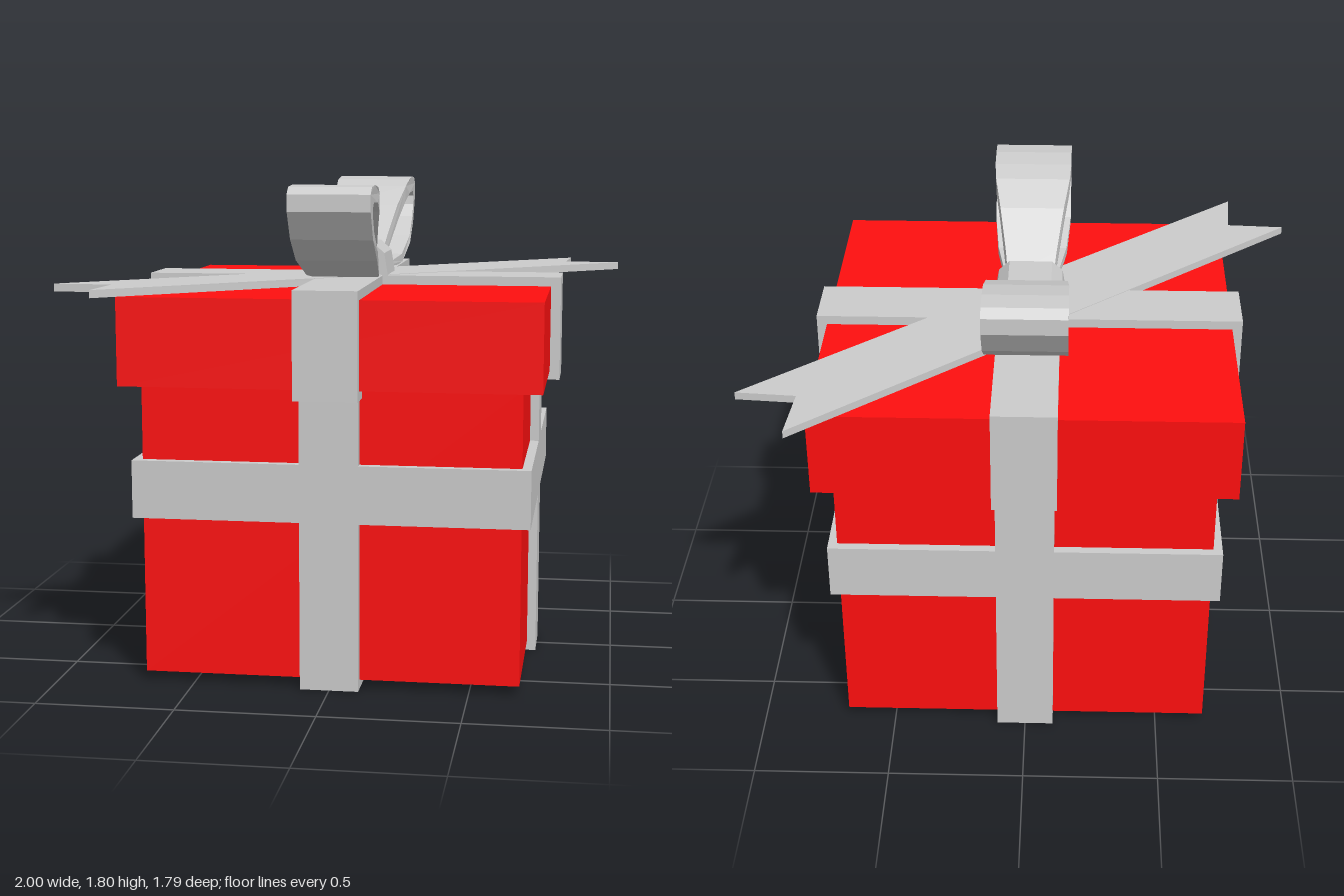
import * as THREE from 'three';

const red = new THREE.MeshStandardMaterial({ color: 0xfe0f0f, flatShading: true });
const grey = new THREE.MeshStandardMaterial({ color: 0xcccccc, flatShading: true });

const toVectors = (pts) => pts.map(([x, y]) => new THREE.Vector2(x, y));

function extrude(pts, depth, hole) {
  const shape = new THREE.Shape(toVectors(pts));
  if (hole) shape.holes.push(new THREE.Path(toVectors(hole)));
  return new THREE.ExtrudeGeometry(shape, { depth, bevelEnabled: false });
}

// Extrude a floor plan upwards from y0 to y1; plan points are (x, -z)
function plan(pts, y0, y1) {
  return extrude(pts, y1 - y0).rotateX(-Math.PI / 2).translate(0, y0, 0);
}

// Square block centred on the y axis
function block(half, y0, y1) {
  return new THREE.BoxGeometry(half * 2, y1 - y0, half * 2).translate(0, (y0 + y1) / 2, 0);
}

// Plus-shaped plan: arm half width w, arm length r
const plus = (w, r) => [
  [w, w], [w, r], [-w, r], [-w, w], [-r, w], [-r, -w],
  [-w, -w], [-w, -r], [w, -r], [w, -w], [r, -w], [r, w],
];

// Bow loop: closed band in side profile, narrowing towards the knot
function bowLoop() {
  const outer = [
    [0.09, 1.46], [0.31, 1.455], [0.37, 1.465], [0.52, 1.53], [0.63, 1.61], [0.695, 1.71],
    [0.695, 1.77], [0.66, 1.795], [0.58, 1.8], [0.49, 1.79], [0.41, 1.765], [0.3, 1.695],
    [0.17, 1.58], [0.09, 1.51],
  ];
  const inner = [
    [0.16, 1.48], [0.17, 1.52], [0.31, 1.635], [0.4, 1.7], [0.5, 1.735], [0.61, 1.74],
    [0.635, 1.72], [0.63, 1.685], [0.6, 1.635], [0.5, 1.56], [0.36, 1.495], [0.22, 1.475],
  ];
  const geo = extrude(outer, 2, inner).translate(0, 0, -1).rotateY(Math.PI / 2);
  const pos = geo.attributes.position;
  for (let i = 0; i < pos.count; i++) {
    const t = THREE.MathUtils.clamp((Math.abs(pos.getZ(i)) - 0.11) / 0.33, 0, 1);
    pos.setX(i, pos.getX(i) * THREE.MathUtils.lerp(0.085, 0.147, t));
  }
  geo.computeVertexNormals();
  return geo;
}

export function createModel() {
  const group = new THREE.Group();
  const add = (name, geo, mat) => {
    const mesh = new THREE.Mesh(geo, mat);
    mesh.name = name;
    group.add(mesh);
    return mesh;
  };

  // Box and lid
  add('boxBody', block(0.68, 0.035, 1.1), red);
  add('lid', block(0.75, 1.095, 1.412), red);

  // Wrapping ribbons
  add('bodyRibbonCross', plan(plus(0.106, 0.713), 0, 1.08), grey);
  add('bodyRibbonBand', block(0.713, 0.613, 0.823), grey);
  add('lidRibbonCross', plan(plus(0.115, 0.787), 1.06, 1.446), grey);

  // Diagonal ribbon tails with notched ends
  add('ribbonTails', plan([
    [-1, -0.66], [-0.785, -0.673], [-0.8, -0.895],
    [1, 0.66], [0.785, 0.677], [0.8, 0.9],
  ], 1.42, 1.448), grey);

  // Bow
  const loop = bowLoop();
  add('backBowLoop', loop, grey);
  add('frontBowLoop', loop, grey).rotation.y = Math.PI;
  add('bowKnot', extrude([
    [-0.135, 1.44], [0.135, 1.44], [0.12, 1.53], [0.08, 1.567], [-0.08, 1.567], [-0.12, 1.53],
  ], 0.22).translate(0, 0, -0.11), grey);

  return group;
}
